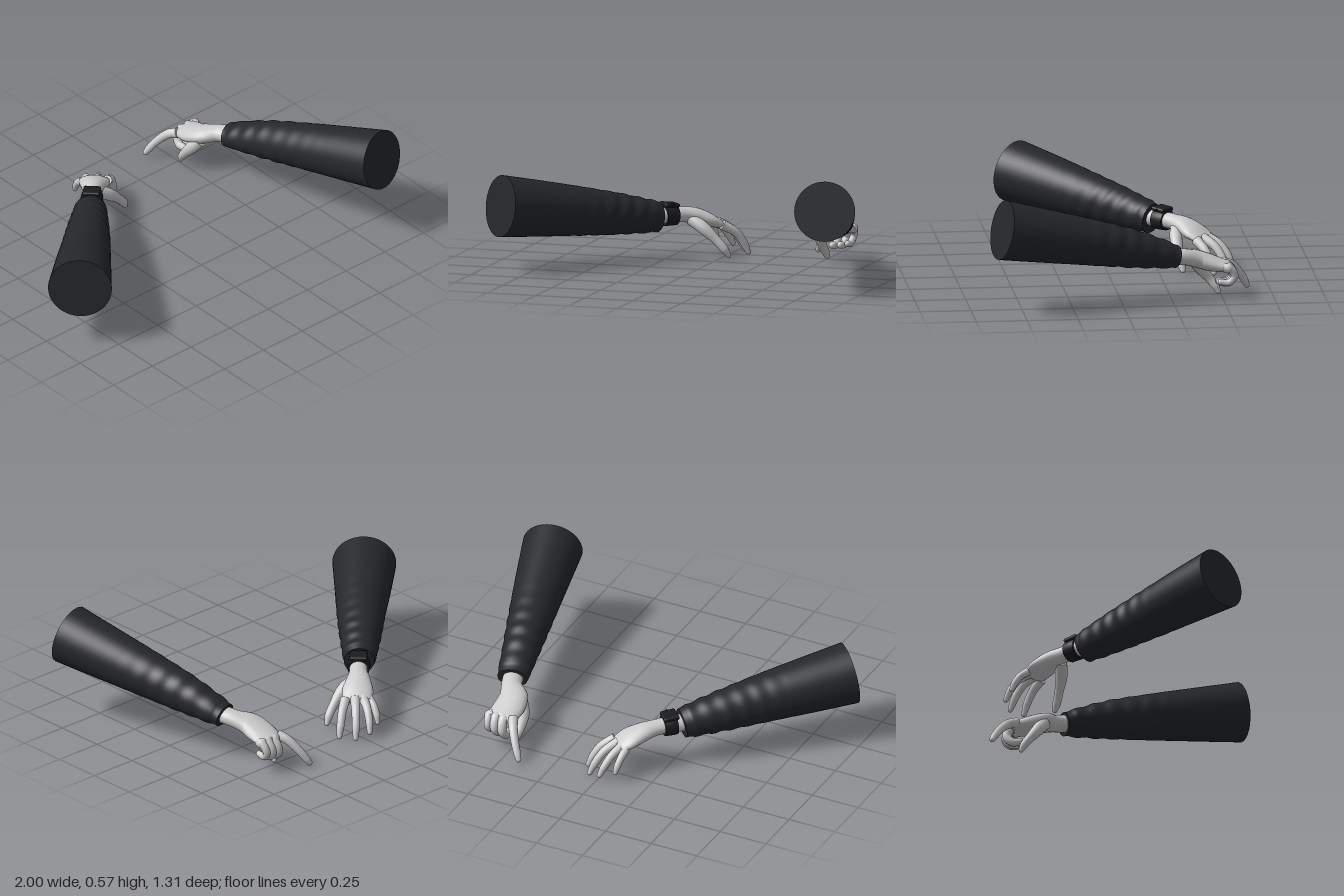
import * as THREE from 'three';
import { RoundedBoxGeometry } from 'three/addons/geometries/RoundedBoxGeometry.js';

const V = (a) => new THREE.Vector3(a[0], a[1], a[2]);
const skin = new THREE.MeshStandardMaterial({ color: 0xcccccc });
const cloth = new THREE.MeshStandardMaterial({ color: 0x25272b });
const rubber = new THREE.MeshStandardMaterial({ color: 0x1b1c1f });

// Smooth tube through sections [x, y, z, sideRadius, upRadius], closed at both ends.
// dome rounds the far end; fold(t, angle) scales the radius.
function loft(name, sections, side, mat, { rings = 24, seg = 20, dome = true, fold = () => 1 } = {}) {
  const path = new THREE.CatmullRomCurve3(sections.map(V));
  const size = new THREE.CatmullRomCurve3(sections.map((s) => new THREE.Vector3(s[3], s[4] ?? s[3], 0)));
  const pos = [], index = [];
  let rows = 0;
  const ring = (t, scale, push = 0) => {
    const c = path.getPoint(t), r = size.getPoint(t), T = path.getTangent(t);
    const S = V(side).addScaledVector(T, -V(side).dot(T)).normalize();
    const U = new THREE.Vector3().crossVectors(T, S);
    c.addScaledVector(T, push * r.y);
    for (let j = 0; j < seg; j++) {
      const a = (j / seg) * Math.PI * 2, k = scale * fold(t, a);
      const p = c.clone().addScaledVector(S, Math.cos(a) * r.x * k).addScaledVector(U, Math.sin(a) * r.y * k);
      pos.push(p.x, p.y, p.z);
    }
    rows++;
  };
  ring(0, 0);
  ring(0, 1);
  for (let i = 0; i <= rings; i++) ring(i / rings, 1);
  if (dome) {
    for (let i = 1; i <= 6; i++) ring(1, Math.cos((i / 6) * Math.PI / 2), Math.sin((i / 6) * Math.PI / 2));
  } else {
    ring(1, 1);
    ring(1, 0);
  }
  for (let i = 0; i < rows - 1; i++) {
    for (let j = 0; j < seg; j++) {
      const k = (j + 1) % seg, a = i * seg + j, b = i * seg + k;
      index.push(a, b, b + seg, a, b + seg, a + seg);
    }
  }
  const g = new THREE.BufferGeometry();
  g.setAttribute('position', new THREE.Float32BufferAttribute(pos, 3));
  g.setIndex(index);
  g.computeVertexNormals();
  const mesh = new THREE.Mesh(g, mat);
  mesh.name = name;
  return mesh;
}

// Sleeve wrinkles that deepen toward the cuff
const wrinkles = (phase) => (t, a) => {
  const amount = THREE.MathUtils.smoothstep(t, 0.3, 0.8) * 0.035;
  const w = t * 62 + Math.sin(a + phase) * 1.6 + Math.sin(2 * a) * 0.7;
  const lip = t > 0.96 ? -0.03 : 0;
  return 1 + lip + amount * Math.sin(w) * (0.7 + 0.3 * Math.cos(a * 2 + t * 9 + phase));
};

function openArm() {
  const arm = new THREE.Group();
  arm.name = 'openHandArm';
  const side = [0.7, 0, 0.7];
  arm.add(loft('openHandSleeve', [
    [-0.888, 0.337, 0.37, 0.156, 0.152], [-0.735, 0.309, 0.215, 0.139, 0.137],
    [-0.58, 0.28, 0.06, 0.12, 0.12], [-0.43, 0.25, -0.095, 0.1, 0.101],
    [-0.285, 0.22, -0.245, 0.078, 0.076],
  ], side, cloth, { rings: 110, seg: 40, dome: false, fold: wrinkles(0.5) }));
  arm.add(loft('openPalm', [
    [-0.3, 0.224, -0.23, 0.047, 0.042], [-0.2, 0.223, -0.33, 0.044, 0.038],
    [-0.145, 0.212, -0.39, 0.06, 0.04], [-0.095, 0.188, -0.438, 0.077, 0.035],
    [-0.063, 0.169, -0.47, 0.073, 0.025],
  ], side, skin));
  // Spread fingers: knuckle, middle joint, last joint, tip
  const fingers = {
    littleFinger: [[-0.11, 0.163, -0.505, 0.021], [-0.104, 0.138, -0.545, 0.018], [-0.097, 0.102, -0.572, 0.017], [-0.092, 0.07, -0.585, 0.012]],
    ringFinger: [[-0.084, 0.17, -0.49, 0.024], [-0.055, 0.138, -0.55, 0.02], [-0.032, 0.088, -0.59, 0.018], [-0.018, 0.048, -0.608, 0.013]],
    middleFinger: [[-0.05, 0.172, -0.468, 0.025], [-0.002, 0.135, -0.525, 0.021], [0.032, 0.075, -0.563, 0.019], [0.05, 0.027, -0.58, 0.013]],
    indexFinger: [[-0.015, 0.165, -0.435, 0.025], [0.04, 0.126, -0.472, 0.021], [0.075, 0.07, -0.498, 0.019], [0.093, 0.025, -0.51, 0.013]],
    thumb: [[-0.15, 0.2, -0.35, 0.03], [-0.085, 0.162, -0.342, 0.031], [-0.015, 0.1, -0.348, 0.022], [0.02, 0.06, -0.355, 0.021], [0.04, 0.028, -0.363, 0.013]],
  };
  for (const [name, pts] of Object.entries(fingers)) arm.add(loft(name, pts, side, skin, { seg: 14 }));
  // Watch: strap around the wrist and a square case on top
  arm.add(loft('watchStrap', [
    [-0.262, 0.224, -0.268, 0.055, 0.051], [-0.242, 0.224, -0.288, 0.056, 0.052], [-0.216, 0.223, -0.314, 0.054, 0.05],
  ], side, rubber, { seg: 28, rings: 6, dome: false }));
  const watch = new THREE.Group();
  watch.name = 'watch';
  const dir = new THREE.Vector3(0.7, -0.08, -0.7).normalize();
  const across = V(side).normalize(), up = new THREE.Vector3().crossVectors(across, dir);
  watch.setRotationFromMatrix(new THREE.Matrix4().makeBasis(across, up, dir.clone().negate()));
  watch.position.set(-0.24, 0.276, -0.29);
  const watchCase = new THREE.Mesh(new RoundedBoxGeometry(0.085, 0.022, 0.078, 3, 0.009), rubber);
  watchCase.name = 'watchCase';
  const crown = new THREE.Mesh(new THREE.CylinderGeometry(0.007, 0.007, 0.01, 12), rubber);
  crown.name = 'watchCrown';
  crown.rotation.z = Math.PI / 2;
  crown.position.x = 0.045;
  watch.add(watchCase, crown);
  arm.add(watch);
  return arm;
}

function pointingArm() {
  const arm = new THREE.Group();
  arm.name = 'pointingArm';
  const side = [0.97, 0, -0.24];
  arm.add(loft('pointingSleeve', [
    [0.855, 0.435, 0.607, 0.149, 0.147], [0.8, 0.388, 0.39, 0.132, 0.131],
    [0.743, 0.34, 0.17, 0.114, 0.114], [0.686, 0.289, -0.05, 0.095, 0.094],
    [0.631, 0.232, -0.268, 0.077, 0.058],
  ], side, cloth, { rings: 110, seg: 40, dome: false, fold: wrinkles(2.1) }));
  arm.add(loft('fistPalm', [
    [0.635, 0.235, -0.24, 0.05, 0.041], [0.612, 0.225, -0.315, 0.051, 0.04],
    [0.568, 0.203, -0.385, 0.074, 0.042], [0.56, 0.182, -0.445, 0.08, 0.04],
    [0.568, 0.166, -0.515, 0.074, 0.028],
  ], [1, 0, 0], skin));
  arm.add(loft('pointingFinger', [
    [0.505, 0.172, -0.51, 0.026], [0.482, 0.152, -0.555, 0.023],
    [0.445, 0.095, -0.605, 0.02], [0.42, 0.052, -0.629, 0.018], [0.41, 0.033, -0.638, 0.014],
  ], side, skin, { seg: 14 }));
  arm.add(loft('pointingHandThumb', [
    [0.53, 0.185, -0.375, 0.035], [0.502, 0.14, -0.405, 0.031],
    [0.495, 0.09, -0.445, 0.023], [0.501, 0.052, -0.475, 0.02], [0.506, 0.027, -0.488, 0.013],
  ], side, skin, { seg: 14 }));
  // Three fingers curled back under the palm
  [[0.547, 0, 0.024], [0.588, 0.004, 0.023], [0.625, 0.012, 0.02]].forEach(([x, lift, r], i) => {
    arm.add(loft('curledFinger' + (i + 1), [
      [x, 0.168, -0.5, r], [x, 0.156 + lift / 2, -0.538, r],
      [x - 0.006, 0.112 + lift, -0.557, r * 0.9], [x - 0.014, 0.08 + lift, -0.53, r * 0.85],
      [x - 0.016, 0.083 + lift, -0.49, r * 0.75],
    ], side, skin, { seg: 14 }));
  });
  // Small raised ornaments on the two outer knuckles
  [[0.577, 0.183, -0.525], [0.618, 0.183, -0.532]].forEach((p, i) => {
    const bead = new THREE.Mesh(new THREE.SphereGeometry(0.014, 16, 10), skin);
    bead.name = 'knuckleBead' + (i + 1);
    bead.scale.set(1.1, 0.6, 0.8);
    bead.position.set(...p);
    bead.rotation.x = -0.5;
    arm.add(bead);
  });
  return arm;
}

export function createModel() {
  const model = new THREE.Group();
  model.name = 'pairOfArms';
  model.add(openArm(), pointingArm());
  return model;
}
